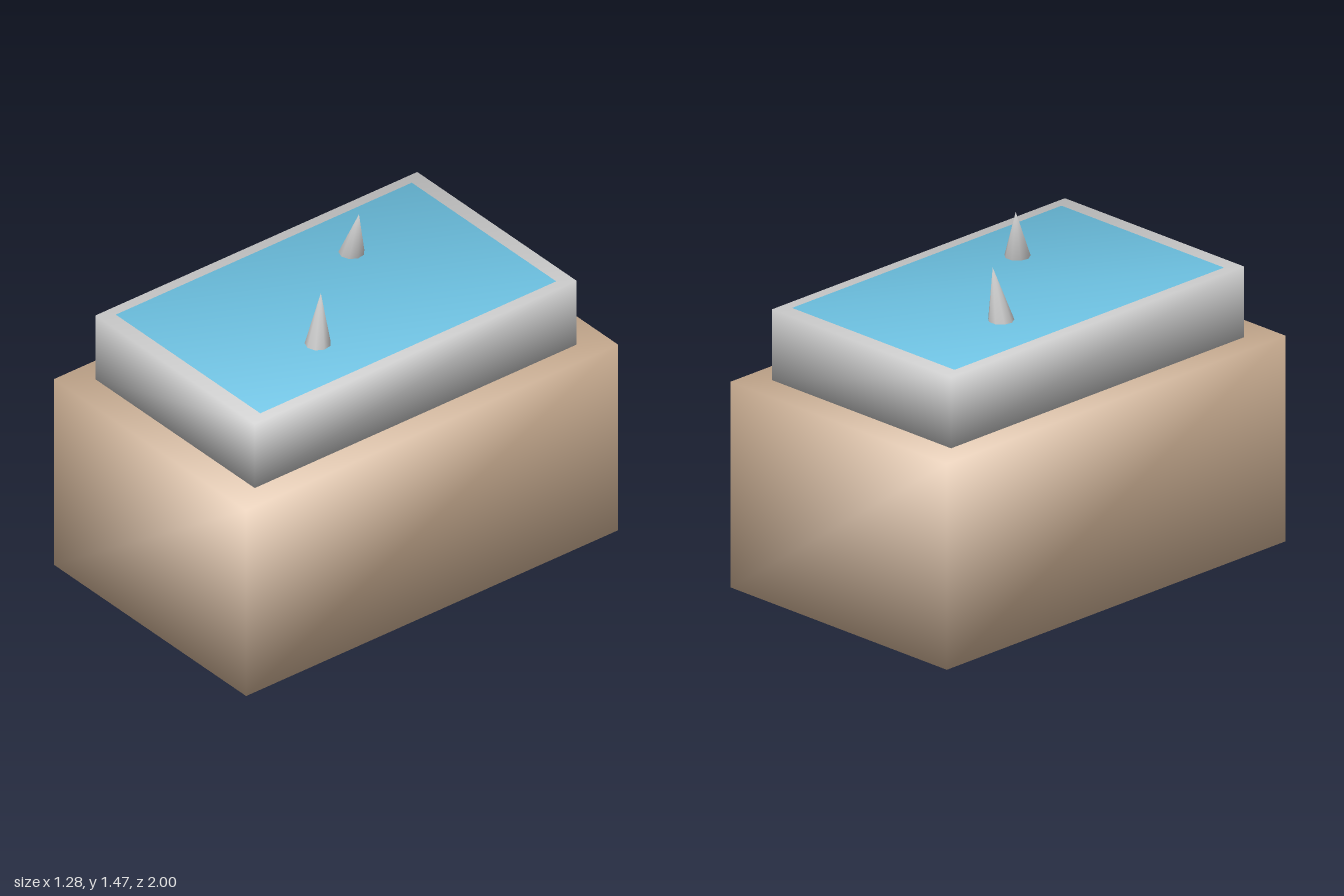
import * as THREE from 'three';
import { mergeVertices } from 'three/addons/utils/BufferGeometryUtils.js';

// Shares corner vertices so the shading runs smoothly over every edge
function soften(geometry) {
  geometry.deleteAttribute('normal');
  geometry.deleteAttribute('uv');
  const merged = mergeVertices(geometry, 1e-4);
  merged.computeVertexNormals();
  return merged;
}

function part(name, geometry, color = 0xcccccc) {
  const mesh = new THREE.Mesh(soften(geometry), new THREE.MeshStandardMaterial({ color }));
  mesh.name = name;
  return mesh;
}

// Box standing between two heights
function slab(name, width, depth, bottom, top, color) {
  const mesh = part(name, new THREE.BoxGeometry(width, top - bottom, depth), color);
  mesh.position.y = (bottom + top) / 2;
  return mesh;
}

// Leaning spike: a cone sheared so its tip sits off centre
function spike(name, x, z, leanX, leanZ) {
  const height = 0.22;
  const cone = new THREE.ConeGeometry(0.056, height, 9).translate(0, height / 2, 0);
  cone.applyMatrix4(new THREE.Matrix4().set(
    1, leanX / height, 0, 0,
    0, 1, 0, 0,
    0, leanZ / height, 1, 0,
    0, 0, 0, 1));
  const mesh = part(name, cone);
  mesh.position.set(x, 1.25, z);
  return mesh;
}

export function createModel() {
  const model = new THREE.Group();
  model.name = 'basin';
  model.add(
    slab('base', 1.28, 2, 0, 0.93, 0xcdb094),
    slab('upperBlock', 1.06, 1.73, 0.93, 1.25),
    // Water surface lies flush with the top of the block
    slab('water', 0.96, 1.59, 0.98, 1.251, 0x6cc0e0),
    spike('rightSpike', -0.23, -0.27, 0.055, 0.005),
    spike('leftSpike', 0.22, 0.275, -0.03, -0.04),
  );
  return model;
}
